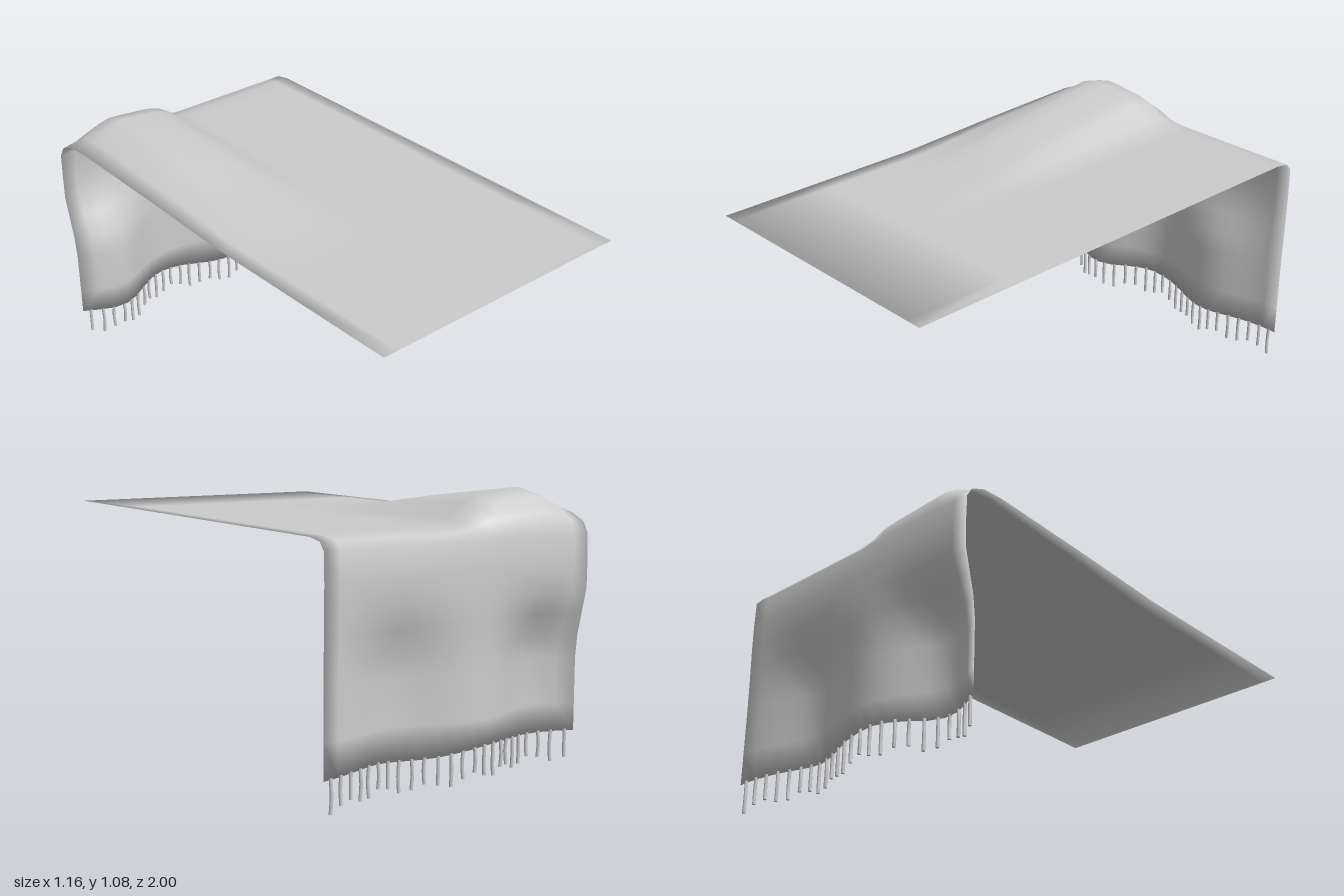
import * as THREE from 'three';

const COLS = 18, HALF = 0.58, TOP = 0.945, THICK = 0.003;

// height of the raised lump across the width, from x = -0.58 to 0
const lump = [0.038, 0.068, 0.11, 0.13, 0.125, 0.116, 0.108, 0.085, 0.025];
// lying rows: z, y, share of the lump
const lyingRows = [
  [1, TOP, 0], [0.55, TOP, 0], [0.1, TOP, 0.01], [-0.36, TOP, 0.58], [-0.82, TOP, 1],
  [-0.91, TOP, 0.82], [-0.972, 0.934, 0.4], [-0.997, 0.905, 0.05],
];
// hanging rows: y, share of the folds; the last one follows the hem
const hangingRows = [[0.8, 0], [0.7, 0.02], [0.61, 0.42], [0.52, 0.82], [0.43, 1], [0.25, 1], [null, 1]];

const bell = (x, c, w) => Math.exp(-(((x - c) / w) ** 2));
const foldZ = x => 0.12 * bell(x, -0.41, 0.19) + 0.08 * bell(x, 0.24, 0.2);

const hemCurve = new THREE.SplineCurve([
  [-0.58, 0.147], [-0.36, 0.14], [-0.14, 0.153], [0.13, 0.124], [0.35, 0.131], [0.58, 0.12],
].map(p => new THREE.Vector2(...p)));
const hemPoints = hemCurve.getPoints(100);
const hemY = x => hemPoints.reduce((a, b) => (Math.abs(b.x - x) < Math.abs(a.x - x) ? b : a)).y;

function sheetPoint(i, j) {
  const x = -HALF + (2 * HALF * j) / COLS;
  if (i < lyingRows.length) {
    const [z, y, k] = lyingRows[i];
    return new THREE.Vector3(x, y + k * (lump[j] ?? 0), z);
  }
  const [y, k] = hangingRows[i - lyingRows.length];
  return new THREE.Vector3(x, y ?? hemY(x), -1 + k * foldZ(x));
}

// two-faced cloth whose layers meet in a softly rounded rim
function clothGeometry() {
  const rows = lyingRows.length + hangingRows.length, w = COLS + 1, count = rows * w;
  const points = [], index = [];
  for (let i = 0; i < rows; i++) for (let j = 0; j < w; j++) points.push(sheetPoint(i, j));
  for (let i = 0; i < rows - 1; i++) {
    for (let j = 0; j < COLS; j++) {
      const a = i * w + j, b = a + 1, c = a + w, d = c + 1;
      index.push(a, b, c, b, d, c);
    }
  }
  const layer = new THREE.BufferGeometry().setFromPoints(points);
  layer.setIndex(index);
  layer.computeVertexNormals();

  const positions = [], normals = [];
  for (const side of [1, -1]) {
    for (let n = 0; n < count; n++) {
      const i = Math.floor(n / w), j = n % w;
      const normal = new THREE.Vector3().fromBufferAttribute(layer.attributes.normal, n).multiplyScalar(side);
      const p = points[n].clone();
      const outward = new THREE.Vector3(j === 0 ? -1 : j === COLS ? 1 : 0, i === rows - 1 ? -1 : 0, i === 0 ? 1 : 0);
      if (outward.lengthSq() > 0) normal.multiplyScalar(0.3).add(outward).normalize();
      else if (side < 0) p.addScaledVector(normal, THICK);
      positions.push(p.x, p.y, p.z);
      normals.push(normal.x, normal.y, normal.z);
    }
  }
  const faces = [...index];
  for (let n = 0; n < index.length; n += 3) {
    faces.push(index[n] + count, index[n + 2] + count, index[n + 1] + count);
  }
  const geometry = new THREE.BufferGeometry();
  geometry.setAttribute('position', new THREE.Float32BufferAttribute(positions, 3));
  geometry.setAttribute('normal', new THREE.Float32BufferAttribute(normals, 3));
  geometry.setIndex(faces);
  return geometry;
}

export function createModel() {
  const model = new THREE.Group();
  model.name = 'blanket';
  const wool = new THREE.MeshStandardMaterial({ color: 0xcccccc });
  wool.name = 'light grey wool';

  const cloth = new THREE.Mesh(clothGeometry(), wool);
  cloth.name = 'cloth';
  model.add(cloth);

  // tassels along the hem, each with its own lower end
  const ends = [0.043, 0.028, 0.045, 0.053, 0.033, 0.028, 0.053, 0.055, 0.034, 0.042, 0.06, 0.042,
    0.018, 0.026, 0.034, 0.016, 0.01, 0.032, 0.04, 0.017, 0.018, 0.034, 0.024, 0];
  const fringe = new THREE.Group();
  fringe.name = 'fringe';
  ends.forEach((end, i) => {
    const x = -0.55 + (1.1 * i) / (ends.length - 1);
    const top = hemY(x) + 0.008, z = -1 + foldZ(x);
    const sway = 0.004 * Math.sin(i * 2.4);
    const path = new THREE.CatmullRomCurve3([
      new THREE.Vector3(x, top, z),
      new THREE.Vector3(x + sway, (top + end) / 2, z + sway / 2),
      new THREE.Vector3(x, end, z),
    ]);
    const tassel = new THREE.Group();
    tassel.name = 'tassel';
    const strand = new THREE.Mesh(new THREE.TubeGeometry(path, 4, 0.0065, 8), wool);
    strand.name = 'strand';
    const tip = new THREE.Mesh(new THREE.CircleGeometry(0.0065, 8).rotateX(Math.PI / 2), wool);
    tip.name = 'strandTip';
    tip.position.set(x, end, z);
    tassel.add(strand, tip);
    fringe.add(tassel);
  });
  model.add(fringe);
  return model;
}
